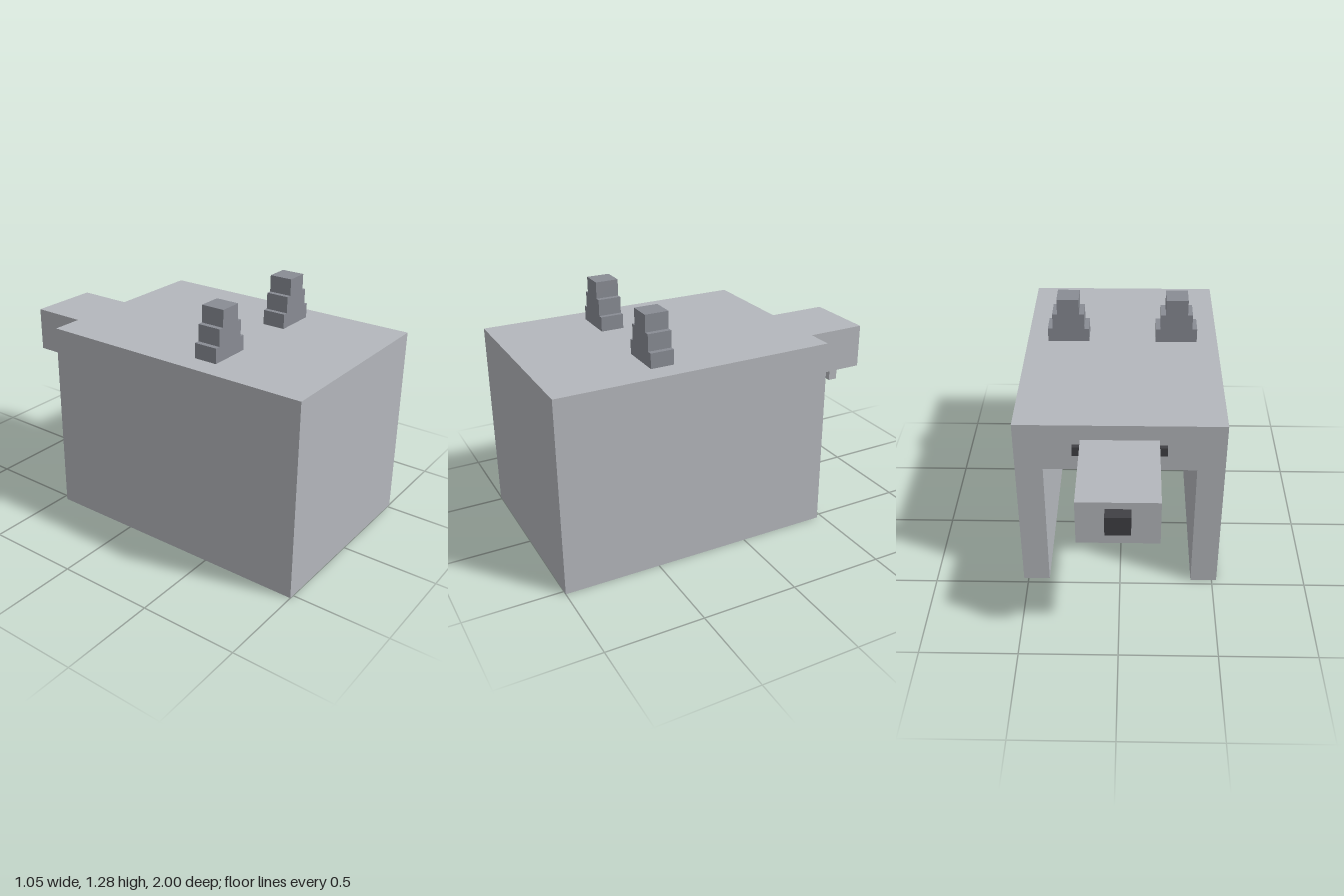
import * as THREE from 'three';

export function createModel() {
  const model = new THREE.Group();
  model.name = 'model';

  const paint = (name, color) => {
    const m = new THREE.MeshStandardMaterial({ color });
    m.name = name;
    return m;
  };
  const lightGrey = paint('lightGrey', 0xb4b7bc);
  const midGrey = paint('midGrey', 0x898c94);
  const charcoal = paint('charcoal', 0x404044);

  // Box given by its extents on each axis
  const box = (name, material, [x0, x1], [y0, y1], [z0, z1], parent = model) => {
    const mesh = new THREE.Mesh(new THREE.BoxGeometry(x1 - x0, y1 - y0, z1 - z0), material);
    mesh.position.set((x0 + x1) / 2, (y0 + y1) / 2, (z0 + z1) / 2);
    mesh.name = name;
    parent.add(mesh);
    return mesh;
  };
  // Extents mirrored to the given side
  const onSide = (s, a, b) => (s > 0 ? [a, b] : [-b, -a]);

  // Hollow shell, open underneath and at the back
  const W = 0.525, H = 1.025, T = 0.14, back = -0.47, front = 1;
  const inner = [-W + T, W - T];
  const shell = new THREE.Group();
  shell.name = 'shell';
  model.add(shell);
  box('roof', lightGrey, [-W, W], [H - T, H], [back, front], shell);
  box('frontWall', lightGrey, inner, [0, H - T], [front - T, front], shell);
  box('backLintel', lightGrey, inner, [0.76, H - T], [back, back + T], shell);

  // Head sticking out of the back, with its nose
  box('head', lightGrey, [-0.195, 0.195], [0.7, 0.94], [-0.94, -0.41]);
  box('nose', charcoal, [-0.06, 0.06], [0.8, 0.903], [-1, -0.94]);

  // Steps of a horn: inner x, outer x, bottom, top
  const steps = [
    [0.184, 0.411, H, 1.103],
    [0.21, 0.384, 1.103, 1.19],
    [0.237, 0.357, 1.19, 1.278],
  ];

  for (const s of [1, -1]) {
    const side = s > 0 ? 'left' : 'right';
    box(side + 'Wall', lightGrey, onSide(s, W - T, W), [0, H - T], [back, front], shell);
    box(side + 'Eye', charcoal, onSide(s, 0.195, 0.235), [0.862, 0.912], [-0.495, back]);
    box(side + 'Tooth', lightGrey, onSide(s, 0.083, 0.133), [0.615, 0.7], [-0.843, -0.793]);

    const horn = new THREE.Group();
    horn.name = side + 'Horn';
    model.add(horn);
    steps.forEach(([a, b, y0, y1], i) =>
      box('hornStep' + (i + 1), midGrey, onSide(s, a, b), [y0, y1], [0.345, 0.468], horn));
  }

  return model;
}
